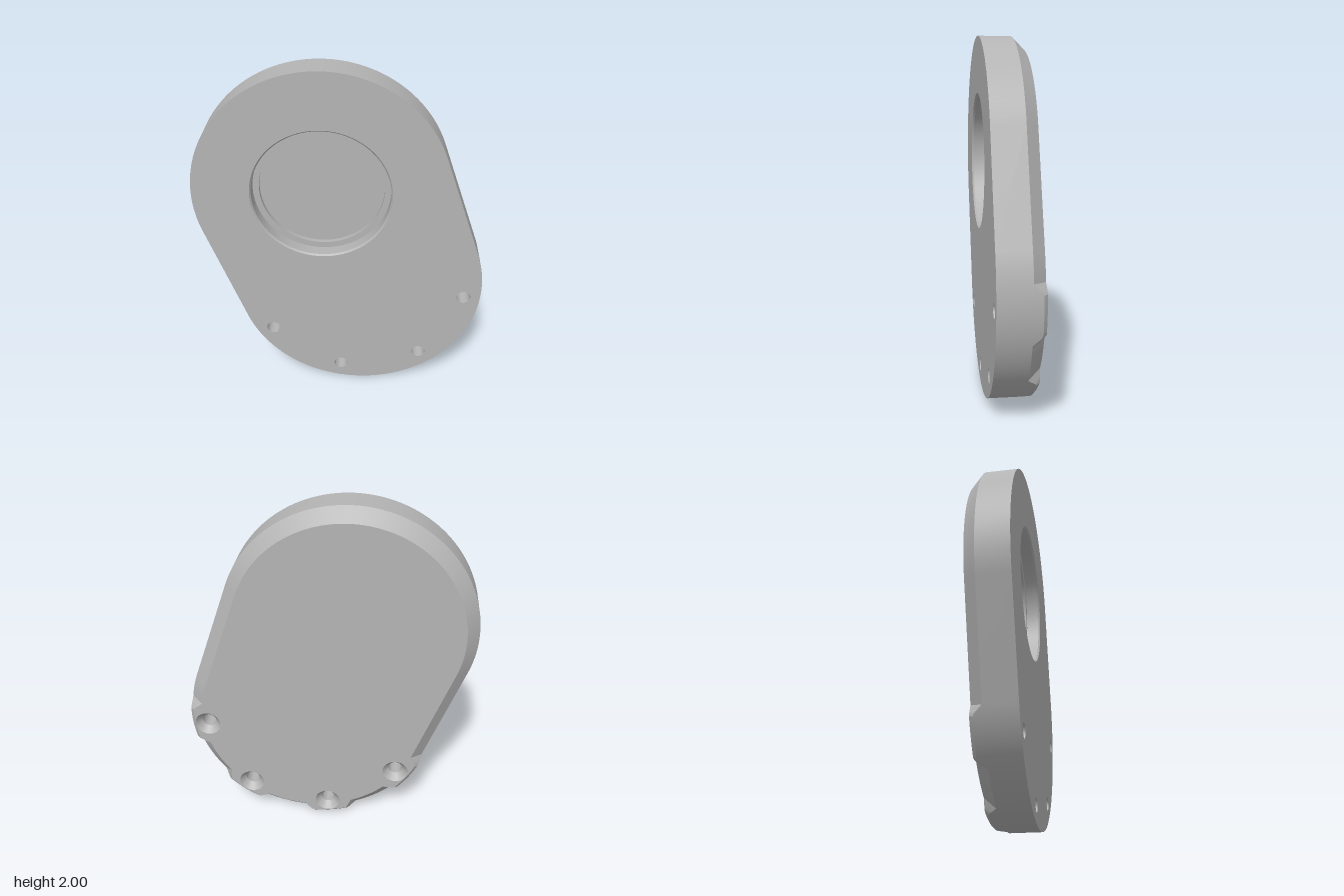
import * as THREE from 'three';
import { toCreasedNormals } from 'three/addons/utils/BufferGeometryUtils.js';

const FRONT = 0.125, BACK = -0.125, R = 0.705;
const UPPER = new THREE.Vector2(-0.108, 1.295), LOWER = new THREE.Vector2(0.105, 0.705);
const POCKET = { x: -0.108, y: 1.297, r: 0.388 };
const SCREWS = [[0.712, 0.645], [0.472, 0.22], [0, 0.107], [-0.407, 0.375]];
const SCREW_R = 0.04, SINK_R = 0.075, SINK_DEPTH = 0.04;

const circle = (x, y, r, n) => Array.from({ length: n }, (_, i) => {
  const a = (i / n) * Math.PI * 2;
  return new THREE.Vector2(x + r * Math.cos(a), y + r * Math.sin(a));
});

// Slanted stadium outline, counter-clockwise, each point with its outward direction
function outline() {
  const axis = UPPER.clone().sub(LOWER).angle();
  const pts = [];
  const arc = (c, start, n) => {
    for (let i = 0; i <= n; i++) {
      const a = start + (i / n) * Math.PI;
      const out = new THREE.Vector2(Math.cos(a), Math.sin(a));
      pts.push({ p: c.clone().addScaledVector(out, R), out });
    }
  };
  arc(UPPER, axis - Math.PI / 2, 80);
  arc(LOWER, axis + Math.PI / 2, 160);
  return pts;
}

// Back bevel is wide, but shrinks to a narrow one where a screw boss meets the rim
function bevelAt(p) {
  let d = Infinity;
  for (const [x, y] of SCREWS) {
    const rim = new THREE.Vector2(x, y).sub(LOWER).setLength(R).add(LOWER);
    d = Math.min(d, rim.distanceTo(p));
  }
  return THREE.MathUtils.lerp(0.02, 0.07, THREE.MathUtils.clamp((d - 0.11) / 0.05, 0, 1));
}

// Band between two closed loops of points, facing outward
function band(front, back) {
  const n = front.length, index = [];
  const pos = [...front, ...back].flatMap((v) => [v.x, v.y, v.z]);
  for (let i = 0; i < n; i++) {
    const j = (i + 1) % n;
    index.push(n + i, n + j, i, n + j, j, i);
  }
  const g = new THREE.BufferGeometry();
  g.setAttribute('position', new THREE.Float32BufferAttribute(pos, 3));
  g.setIndex(index);
  return toCreasedNormals(g, 0.35);
}

// Inward-facing turned surface along z, profile listed from front to back
function bore(profile, x, y, segments) {
  const g = new THREE.LatheGeometry(profile.map(([r, z]) => new THREE.Vector2(r, z)), segments);
  g.rotateX(Math.PI / 2).translate(x, y, 0);
  return toCreasedNormals(g, 0.4);
}

function plate(points, holes) {
  const shape = new THREE.Shape(points);
  shape.holes = holes.map((h) => new THREE.Path(h));
  return new THREE.ShapeGeometry(shape);
}

export function createModel() {
  const model = new THREE.Group();
  model.name = 'coverPlate';
  const grey = new THREE.MeshStandardMaterial({ color: 0xb4b4b4 });
  grey.name = 'plain grey';
  const add = (name, geometry) => {
    const mesh = new THREE.Mesh(geometry, grey);
    mesh.name = name;
    model.add(mesh);
  };

  const rim = outline();
  const frontLoop = [], shoulder = [], backLoop = [];
  for (const { p, out } of rim) {
    const c = bevelAt(p);
    const q = p.clone().addScaledVector(out, -c);
    frontLoop.push(new THREE.Vector3(p.x, p.y, FRONT));
    shoulder.push(new THREE.Vector3(p.x, p.y, BACK + c));
    backLoop.push(new THREE.Vector3(q.x, q.y, BACK));
  }

  // Outer wall and back bevel with scalloped bosses
  add('sideWall', band(frontLoop, shoulder));
  add('backBevel', band(shoulder, backLoop));

  // Flat faces
  add('frontFace', plate(rim.map((o) => o.p), [
    circle(POCKET.x, POCKET.y, POCKET.r, 96),
    ...SCREWS.map(([x, y]) => circle(x, y, SCREW_R, 32)),
  ]).translate(0, 0, FRONT));
  add('backFace', plate(
    backLoop.map((v) => new THREE.Vector2(-v.x, v.y)),
    SCREWS.map(([x, y]) => circle(-x, y, SINK_R, 32)),
  ).rotateY(Math.PI).translate(0, 0, BACK));

  // Stepped round pocket in the front
  add('roundPocket', bore([
    [POCKET.r, FRONT], [0.38, FRONT - 0.01], [0.38, FRONT - 0.08],
    [0.345, FRONT - 0.08], [0.345, FRONT - 0.105], [0, FRONT - 0.105],
  ], POCKET.x, POCKET.y, 96));

  // Through holes, countersunk from the back
  for (const [x, y] of SCREWS) {
    add('screwHole', bore([
      [SCREW_R, FRONT], [SCREW_R, BACK + SINK_DEPTH], [SINK_R, BACK],
    ], x, y, 32));
  }
  return model;
}
